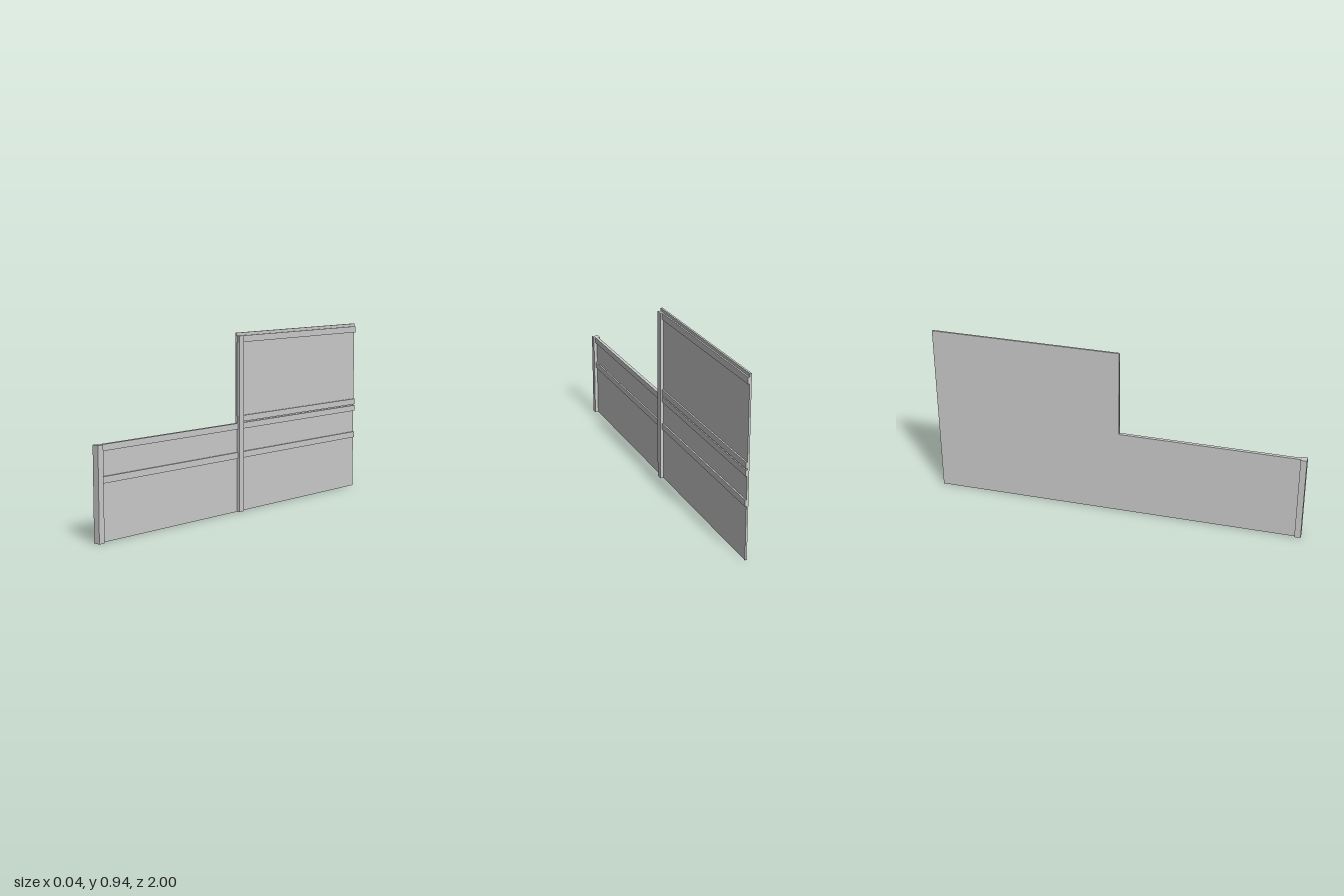
import * as THREE from 'three';

export function createModel() {
  const group = new THREE.Group();
  const material = new THREE.MeshStandardMaterial({ color: 0xcccccc, flatShading: true });

  // Box given by its minimum and maximum on each axis
  function addBox(name, [x0, x1], [y0, y1], [z0, z1]) {
    const mesh = new THREE.Mesh(new THREE.BoxGeometry(x1 - x0, y1 - y0, z1 - z0), material);
    mesh.position.set((x0 + x1) / 2, (y0 + y1) / 2, (z0 + z1) / 2);
    mesh.name = name;
    group.add(mesh);
  }

  // Stepped fence panel: low at the front, tall at the back
  const outline = new THREE.Shape([
    [-0.995, 0], [1, 0], [1, 0.945], [-0.012, 0.945], [-0.012, 0.472], [-0.995, 0.472],
  ].map(([u, y]) => new THREE.Vector2(u, y)));
  const panelGeometry = new THREE.ExtrudeGeometry(outline, { depth: 0.01, bevelEnabled: false });
  panelGeometry.rotateY(Math.PI / 2); // the outline's horizontal axis becomes -z
  panelGeometry.translate(-0.01, 0, 0);
  const panel = new THREE.Mesh(panelGeometry, material);
  panel.name = 'panel';
  group.add(panel);

  // Thin horizontal rails; the lower two run the full length
  for (const [y0, y1, front] of [
    [0.285, 0.318, 0.97], [0.44, 0.472, 0.97],
    [0.478, 0.51, 0.014], [0.895, 0.929, 0.014],
  ]) {
    addBox('rail', [0, 0.008], [y0, y1], [-1, front]);
  }

  // Tall middle post, in front of the rails
  addBox('middlePost', [0, 0.018], [0, 0.93], [-0.026, 0.01]);

  // End post: one half on each side of the panel, with a cap strip on its edge
  addBox('endPostLeft', [0, 0.018], [0, 0.472], [0.967, 1]);
  addBox('endPostRight', [-0.019, -0.01], [0, 0.472], [0.967, 1]);
  addBox('endPostStrip', [-0.01, 0], [0, 0.472], [0.995, 1]);

  return group;
}
